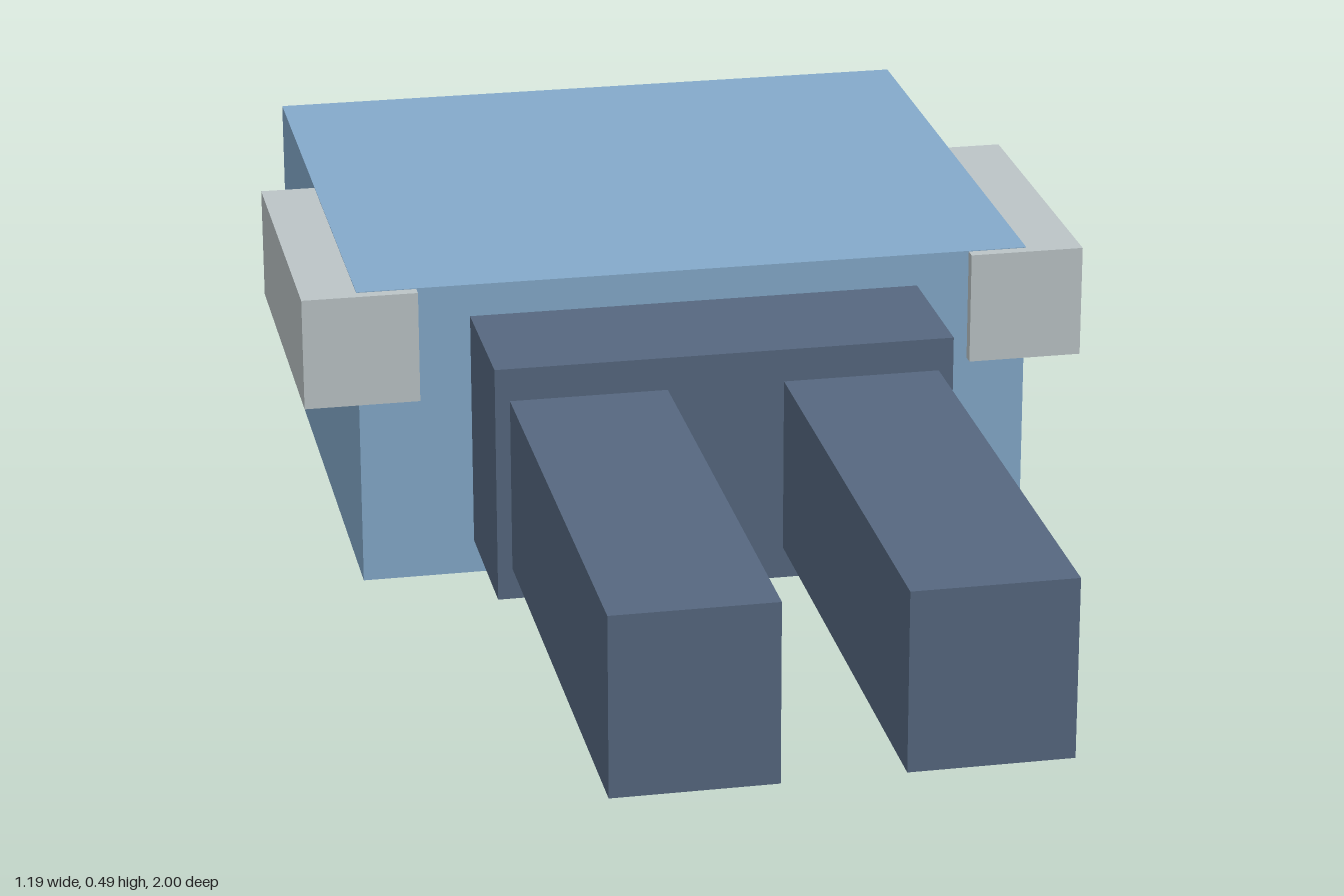
import * as THREE from 'three';

export function createModel() {
  const group = new THREE.Group();
  const material = (name, color) => {
    const m = new THREE.MeshStandardMaterial({ color });
    m.name = name;
    return m;
  };
  const blue = material('light blue', 0x84aacb);
  const navy = material('slate navy', 0x566880);
  const grey = material('pale grey', 0xbcc5c7);

  // Box given by its lower and upper limits on each axis
  const addBox = (name, mat, [x0, x1], [y0, y1], [z0, z1]) => {
    const mesh = new THREE.Mesh(new THREE.BoxGeometry(x1 - x0, y1 - y0, z1 - z0), mat);
    mesh.position.set((x0 + x1) / 2, (y0 + y1) / 2, (z0 + z1) / 2);
    mesh.name = name;
    group.add(mesh);
  };

  // Main body, front block and rear plate
  addBox('body', blue, [-0.513, 0.513], [0.025, 0.49], [-0.935, -0.02]);
  addBox('frontBlock', navy, [-0.343, 0.343], [0.077, 0.44], [-0.1, 0.21]);
  addBox('rearPlate', grey, [-0.402, 0.402], [0, 0.367], [-1, -0.83]);

  // Mirrored prongs and side blocks (tops just under the body's top face)
  for (const [side, s] of [['left', 1], ['right', -1]]) {
    const span = (a, b) => (s > 0 ? [a, b] : [-b, -a]);
    addBox(side + 'Prong', navy, span(0.087, 0.321), [0.125, 0.39], [0.15, 1]);
    addBox(side + 'SideBlock', grey, span(0.423, 0.597), [0.317, 0.489], [-0.512, -0.002]);
  }
  return group;
}
